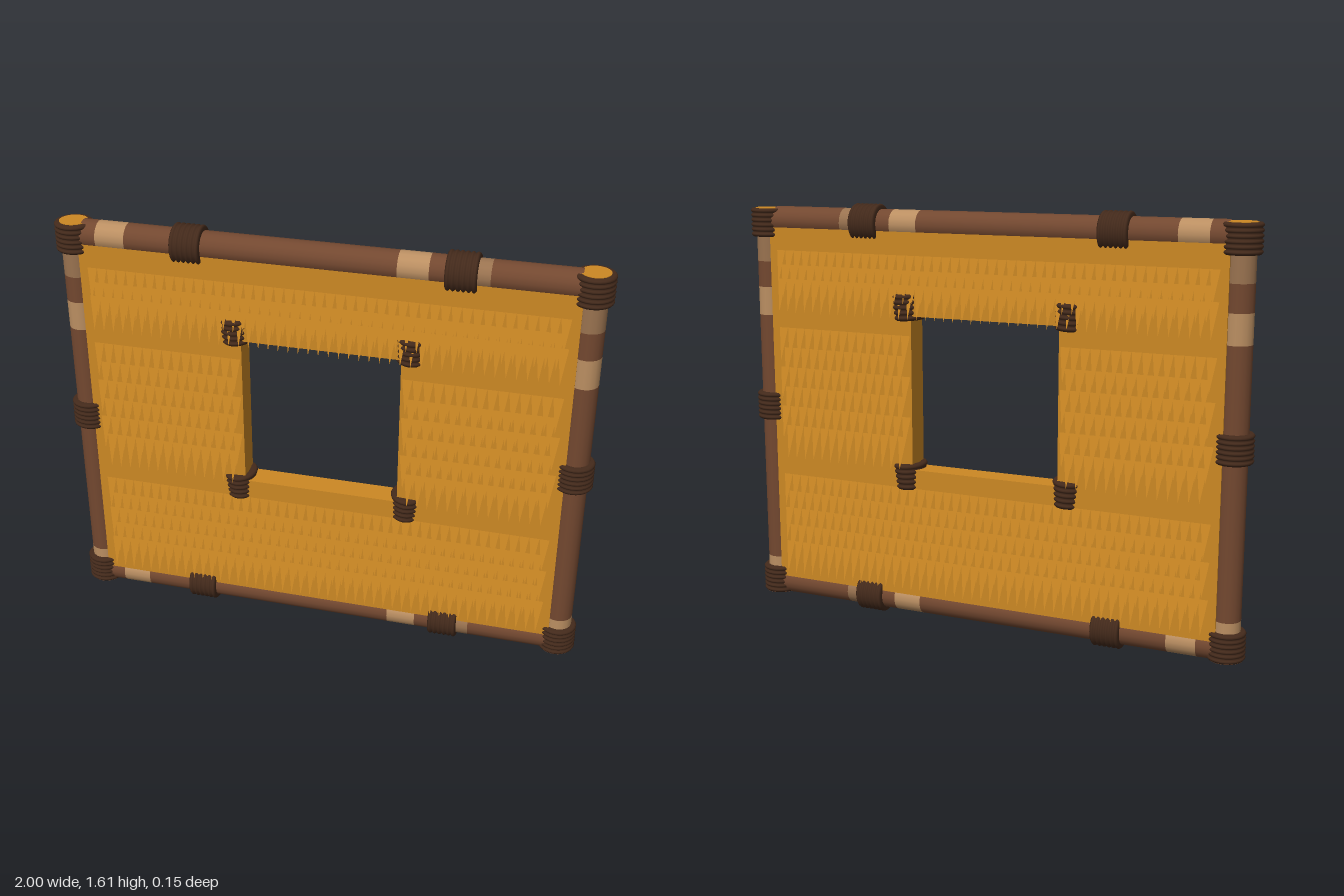
import * as THREE from 'three';

const mat = (name, color, side = THREE.FrontSide) => {
  const m = new THREE.MeshStandardMaterial({ color, side });
  m.name = name;
  return m;
};

export function createModel() {
  const root = new THREE.Group();
  root.name = 'thatchedWindowWall';
  const bark = mat('bark brown', 0x734830);
  const tan = mat('peeled tan', 0xbb8f62);
  const dull = mat('worn tan', 0x9a7350);
  const rope = mat('dark rope', 0x442a1b);
  const straw = mat('straw ochre', 0xcc8824);
  const blades = mat('straw blades', 0xcc8824, THREE.DoubleSide);

  const add = (parent, name, geo, material, x = 0, y = 0, z = 0) => {
    const m = new THREE.Mesh(geo, material);
    m.name = name;
    m.position.set(x, y, z);
    parent.add(m);
    return m;
  };

  // A pole along y, made of coloured lengths: [end, material], bottom to top
  const pole = (name, start, lengths, r) => {
    const g = new THREE.Group();
    g.name = name;
    let from = start;
    for (const [to, material] of lengths) {
      add(g, 'poleLength', new THREE.CylinderGeometry(r, r, to - from, 16, 1, true), material, 0, (from + to) / 2);
      from = to;
    }
    root.add(g);
    return g;
  };

  // Rope lashing: a closed profile with one bulge for each coil
  const lashing = (parent, name, r, height, coils, x, y, flare = 0) => {
    const pts = [new THREE.Vector2(r - 0.025, -height / 2)];
    const steps = coils * 4;
    for (let i = 0; i <= steps; i++) {
      const t = i / steps;
      const bulge = Math.abs(Math.sin(t * coils * Math.PI));
      pts.push(new THREE.Vector2(r - 0.007 + 0.007 * bulge + flare * (t - 0.5), (t - 0.5) * height));
    }
    pts.push(new THREE.Vector2(r - 0.025, height / 2));
    return add(parent, name, new THREE.LatheGeometry(pts, 24), rope, x, y);
  };

  // Upright poles with pale cut ends and three lashings each
  for (const s of [-1, 1]) {
    const g = pole(s > 0 ? 'leftPost' : 'rightPost', 0.03,
      [[0.14, bark], [0.18, tan], [1.17, bark], [1.28, tan], [1.38, bark], [1.48, dull], [1.575, bark]], 0.051);
    g.position.x = s * 0.929;
    for (const y of [0.086, 0.808, 1.529]) lashing(g, 'postLashing', 0.071, 0.108, 6, 0, y);
    const rim = new THREE.CylinderGeometry(0.064, 0.064, 0.01, 24);
    add(g, 'topRim', rim, bark, 0, 1.577);
    add(g, 'bottomRim', rim, bark, 0, 0.036);
    const end = new THREE.CylinderGeometry(0.052, 0.052, 0.012, 24);
    add(g, 'topCutEnd', end, straw, 0, 1.579);
    add(g, 'bottomCutEnd', end, straw, 0, 0.033);
  }

  // Crossing poles, turned so that their length runs along x
  for (const [name, y] of [['topRail', 1.537], ['bottomRail', 0.08]]) {
    const g = pole(name, -0.89,
      [[-0.83, bark], [-0.72, tan], [0.27, bark], [0.38, tan], [0.54, bark], [0.59, dull], [0.89, bark]], 0.054);
    g.rotation.z = -Math.PI / 2;
    g.position.y = y;
    for (const x of [-0.49, 0.49]) lashing(g, 'railLashing', 0.073, 0.11, 6, 0, x);
  }
  root.getObjectByName('bottomRail').position.y = 0.078;

  // Thatch slabs around the window opening
  const slab = (name, x0, x1, y0, y1) =>
    add(root, name, new THREE.BoxGeometry(x1 - x0, y1 - y0, 0.094), straw, (x0 + x1) / 2, (y0 + y1) / 2);
  slab('thatchAbove', -0.9, 0.9, 1.2, 1.52);
  slab('thatchBelow', -0.9, 0.9, 0.1, 0.61);
  slab('thatchSideLeft', 0.295, 0.9, 0.61, 1.2);
  slab('thatchSideRight', -0.9, -0.295, 0.61, 1.2);

  // Rows of flat pointed blades that lean outwards to their tips, on both faces
  const fringe = (name, x0, x1, tops, length) => {
    const pos = [];
    const n = Math.round((x1 - x0) / 0.037);
    const w = (x1 - x0) / n;
    tops.forEach((top, row) => {
      for (const s of [1, -1]) {
        const shift = row % 2 ? w / 2 : 0;
        for (let i = 0; i < n - row % 2; i++) {
          const a = x0 + shift + i * w, b = a + w;
          const left = s > 0 ? a : b, right = s > 0 ? b : a;
          pos.push(left, top, s * 0.046, (a + b) / 2, top - length, s * 0.075, right, top, s * 0.046);
        }
      }
    });
    const geo = new THREE.BufferGeometry();
    geo.setAttribute('position', new THREE.Float32BufferAttribute(pos, 3));
    geo.computeVertexNormals();
    add(root, name, geo, blades);
  };
  const rows = (top, count, pitch) => Array.from({ length: count }, (_, i) => top - i * pitch);
  fringe('bladesAbove', -0.87, 0.87, rows(1.43, 3, 0.055), 0.13);
  fringe('bladesBelow', -0.87, 0.87, rows(0.54, 5, 0.07), 0.13);
  fringe('bladesSideLeft', 0.3, 0.87, rows(1.13, 6, 0.078), 0.13);
  fringe('bladesSideRight', -0.87, -0.3, rows(1.13, 6, 0.078), 0.13);

  // Lashings at the four corners of the opening
  for (const s of [-1, 1]) {
    for (const [y, flare] of [[1.232, 0.008], [0.58, 0.008]]) {
      const m = lashing(root, 'windowLashing', 0.07, 0.1, 5, s * 0.325, y, flare);
      m.scale.x = 0.86;
      m.rotation.z = s * -0.05;
      const plug = add(m, 'windowLashingCore', new THREE.CylinderGeometry(0.058, 0.056, 0.092, 20), rope);
      plug.position.y = 0;
    }
  }
  return root;
}
